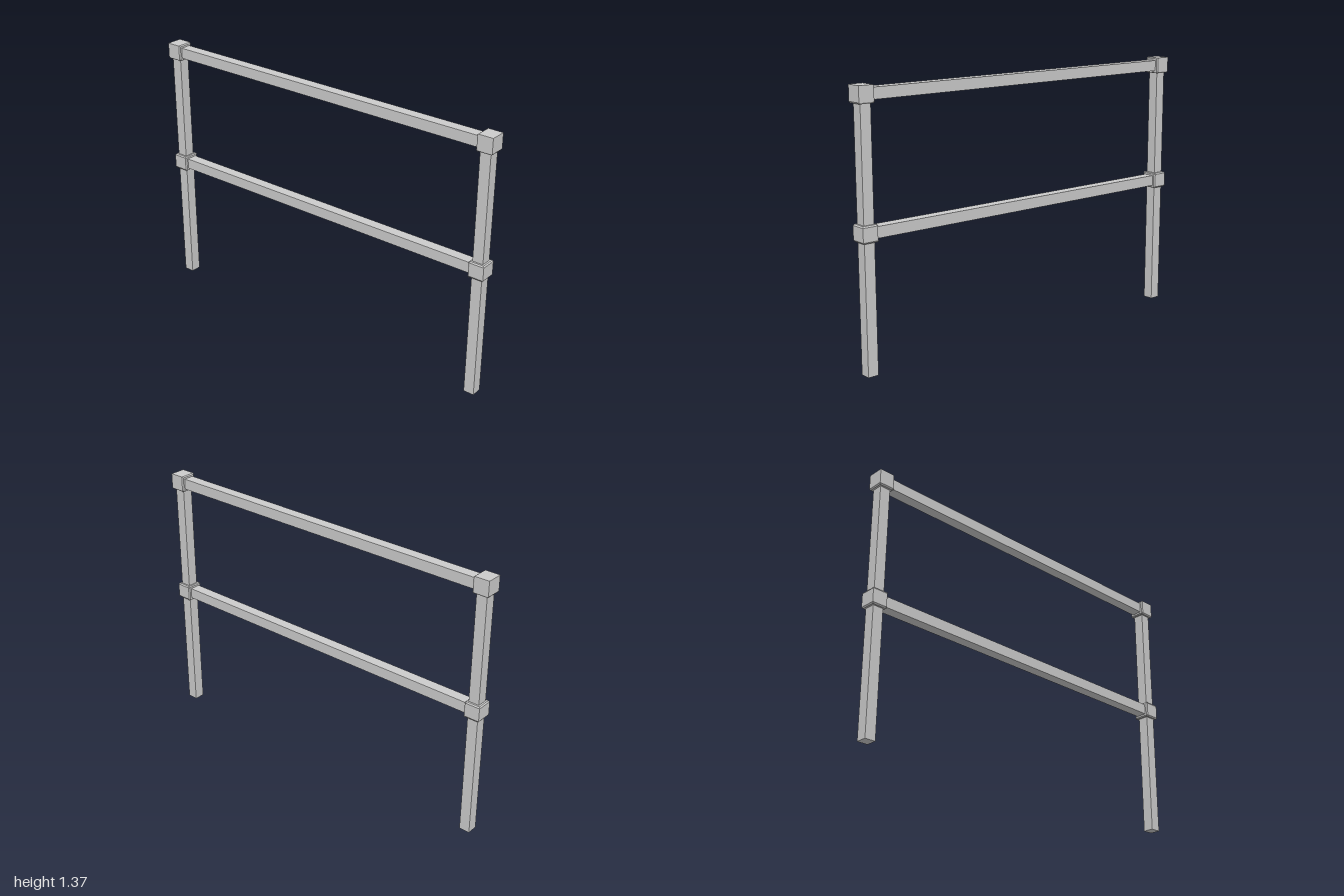
import * as THREE from 'three';

const BAR = 0.056;    // square section of posts and rails
const JOINT = 0.084;  // outer size of the joint sleeves
const LIP = 0.007;    // depth of the bevelled sleeve mouths
const POST_X = 0.957;
const LEVELS = [{ name: 'middle', y: 0.69 }, { name: 'top', y: 1.331 }];

const material = new THREE.MeshStandardMaterial({ color: 0xcccccc, flatShading: true });

function box(name, w, h, d, x, y, z = 0) {
  const mesh = new THREE.Mesh(new THREE.BoxGeometry(w, h, d), material);
  mesh.name = name;
  mesh.position.set(x, y, z);
  return mesh;
}

// Square frustum narrowing towards +y, its base at y = 0
function lip() {
  const geometry = new THREE.CylinderGeometry(
    (JOINT / 2 - LIP * 0.7) * Math.SQRT2, (JOINT / 2) * Math.SQRT2, LIP, 4
  );
  geometry.rotateY(Math.PI / 4);
  geometry.translate(0, LIP / 2, 0);
  const mesh = new THREE.Mesh(geometry, material);
  mesh.name = 'sleeveLip';
  return mesh;
}

// Sleeve with a bevelled mouth wherever a bar enters it
function joint(name, side, y, openTop) {
  const group = new THREE.Group();
  group.name = name;
  const half = JOINT / 2;
  const inner = half - LIP;
  const top = openTop ? inner : half;
  group.add(box('sleeveBlock', half + inner, top + inner, JOINT, (half - inner) / 2, (top - inner) / 2));

  const bottomLip = lip();
  bottomLip.rotation.z = Math.PI;
  bottomLip.position.set(0, -inner, 0);
  const sideLip = lip();
  sideLip.rotation.z = Math.PI / 2;
  sideLip.position.set(-inner, 0, 0);
  group.add(bottomLip, sideLip);
  if (openTop) {
    const topLip = lip();
    topLip.position.y = inner;
    group.add(topLip);
  }

  // The rail mouth faces -x, so the right-hand joint is turned about
  group.position.set(side * POST_X, y, 0);
  if (side < 0) group.rotation.y = Math.PI;
  return group;
}

export function createModel() {
  const model = new THREE.Group();
  model.name = 'railing';
  const topY = LEVELS[1].y;

  // Posts and their joints
  for (const side of [-1, 1]) {
    const label = side > 0 ? 'left' : 'right';
    model.add(box(label + 'Post', BAR, topY, BAR, side * POST_X, topY / 2));
    for (const level of LEVELS) {
      model.add(joint(`${label}${level.name === 'top' ? 'Top' : 'Middle'}Joint`, side, level.y, level.name !== 'top'));
    }
  }

  // Horizontal rails
  for (const level of LEVELS) {
    model.add(box(level.name + 'Rail', POST_X * 2 - BAR, BAR, BAR, 0, level.y));
  }
  return model;
}
